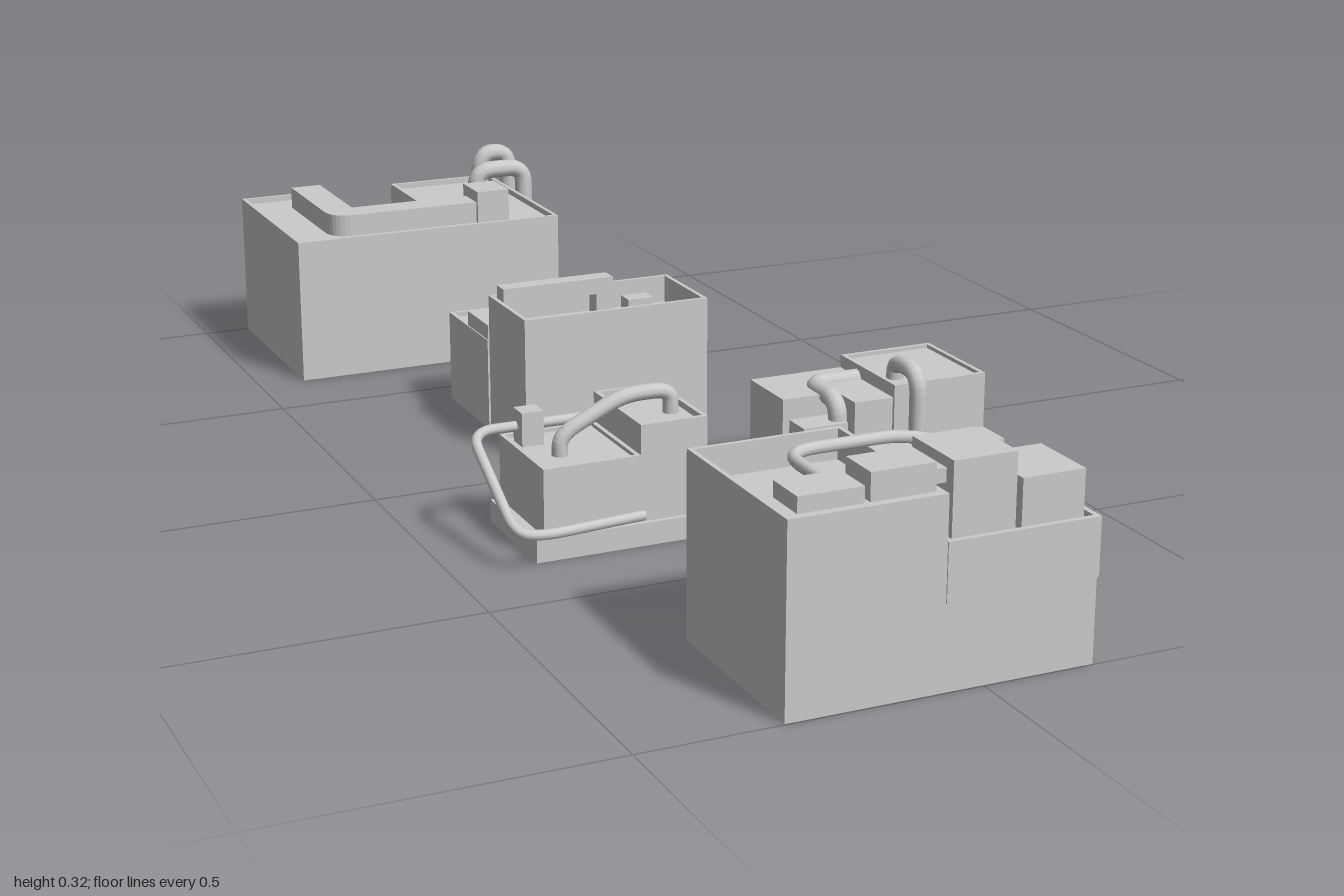
import * as THREE from 'three';

const grey = new THREE.MeshStandardMaterial({ color: 0xcccccc, side: THREE.DoubleSide });

function add(group, name, geometry) {
  const mesh = new THREE.Mesh(geometry, grey);
  mesh.name = name;
  group.add(mesh);
  return mesh;
}

// Plain box given by its limits
function box(group, name, x0, x1, y0, y1, z0, z1) {
  const g = new THREE.BoxGeometry(x1 - x0, y1 - y0, z1 - z0);
  g.translate((x0 + x1) / 2, (y0 + y1) / 2, (z0 + z1) / 2);
  return add(group, name, g);
}

const rect = (x0, x1, z0, z1) => [[x0, z1], [x1, z1], [x1, z0], [x0, z0]];

// Footprint points [x, z] become a shape in the ground plane
const toVectors = (pts) => pts.map(([x, z]) => new THREE.Vector2(x, -z));

function extrudeUp(shape, y0, y1) {
  const g = new THREE.ExtrudeGeometry(shape, { depth: y1 - y0, bevelEnabled: false, curveSegments: 8 });
  g.rotateX(-Math.PI / 2);
  g.translate(0, y0, 0);
  return g;
}

// Hollow volume: walls and roof without a floor
function shell(group, name, pts, y0, y1) {
  const g = extrudeUp(new THREE.Shape(toVectors(pts)), y0, y1);
  const p = g.attributes.position.array, kept = [];
  for (let i = 0; i < p.length; i += 9) {
    const top = Math.max(p[i + 1], p[i + 4], p[i + 7]);
    if (top > y0 + 1e-4) kept.push(...p.slice(i, i + 9));
  }
  const open = new THREE.BufferGeometry();
  open.setAttribute('position', new THREE.Float32BufferAttribute(kept, 3));
  open.computeVertexNormals();
  return add(group, name, open);
}

// Ring following a right-angled footprint (parapet or plinth)
function ring(group, name, pts, y0, y1, t) {
  const v = toVectors(pts);
  const inner = v.map((p, i) => {
    const before = p.clone().sub(v[(i + v.length - 1) % v.length]).normalize();
    const after = v[(i + 1) % v.length].clone().sub(p).normalize();
    return new THREE.Vector2(p.x - t * (before.y + after.y), p.y + t * (before.x + after.x));
  });
  const shape = new THREE.Shape(v);
  shape.holes.push(new THREE.Path(inner));
  return add(group, name, extrudeUp(shape, y0, y1));
}

// Volume whose roof sits below a thin parapet
function building(group, name, pts, y0, y1, recess) {
  shell(group, name, pts, y0, y1 - recess);
  ring(group, name + 'Parapet', pts, y1 - recess, y1, 0.007);
}

// Pipe along a path with rounded corners
function pipe(group, name, pts, r, bend) {
  const v = pts.map((p) => new THREE.Vector3(...p));
  const path = [v[0]];
  for (let i = 1; i < v.length - 1; i++) {
    const toward = (q) => v[i].clone().add(q.clone().sub(v[i]).setLength(Math.min(bend, q.distanceTo(v[i]) * 0.48)));
    path.push(...new THREE.QuadraticBezierCurve3(toward(v[i - 1]), v[i], toward(v[i + 1])).getPoints(6));
  }
  path.push(v[v.length - 1]);
  const curve = new THREE.CurvePath();
  for (let i = 1; i < path.length; i++) curve.add(new THREE.LineCurve3(path[i - 1], path[i]));
  add(group, name, new THREE.TubeGeometry(curve, 90, r, 10, false));
  // end caps
  for (const [a, b] of [[v[0], v[1]], [v[v.length - 1], v[v.length - 2]]]) {
    const cap = add(group, name + 'End', new THREE.CircleGeometry(r, 10));
    cap.position.copy(a);
    cap.lookAt(a.clone().multiplyScalar(2).sub(b));
  }
}

// Flat L-shaped duct with a rounded outer corner
function elbowDuct(group, name, x0, x1, zBack, zFront, w, y0, y1) {
  const s = new THREE.Shape();
  const r = w * 0.8;
  s.moveTo(x0, -zBack);
  s.lineTo(x0, -zFront + r);
  s.quadraticCurveTo(x0, -zFront, x0 + r, -zFront);
  s.lineTo(x1, -zFront);
  s.lineTo(x1, -zFront + w);
  s.lineTo(x0 + w, -zFront + w);
  s.lineTo(x0 + w, -zBack);
  return add(group, name, extrudeUp(s, y0, y1));
}

function frontHall() {
  const g = new THREE.Group();
  g.name = 'frontHall';
  shell(g, 'hallBody', rect(-0.29, 0.168, 0.702, 0.998), 0, 0.2);
  ring(g, 'hallCornerBand', rect(-0.06, 0.17, 0.7, 1), 0.125, 0.21, 0.008);
  building(g, 'hallRearRoof', rect(-0.29, -0.06, 0.702, 0.895), 0.2, 0.275, 0.045);
  box(g, 'hallFrontLedge', -0.29, -0.06, 0.2, 0.275, 0.895, 0.998);
  // roof units
  box(g, 'roofUnit', -0.27, -0.175, 0.27, 0.298, 0.918, 0.985);
  box(g, 'roofUnit', -0.167, -0.072, 0.27, 0.315, 0.918, 0.985);
  box(g, 'roofUnit', -0.043, 0.052, 0.2, 0.31, 0.87, 0.978);
  box(g, 'roofUnit', 0.06, 0.155, 0.2, 0.272, 0.87, 0.98);
  box(g, 'unitLink', -0.075, -0.04, 0.275, 0.295, 0.935, 0.96);
  pipe(g, 'roofPipe', [[-0.195, 0.285, 0.93], [-0.195, 0.285, 0.795], [0.0, 0.285, 0.795], [0.12, 0.245, 0.88]], 0.009, 0.05);
  return g;
}

function sidePump() {
  const g = new THREE.Group();
  g.name = 'pumpHouse';
  ring(g, 'plinth', rect(-0.37, -0.09, 0.165, 0.355), 0, 0.036, 0.018);
  building(g, 'lowWing', rect(-0.355, -0.2, 0.168, 0.347), 0, 0.14, 0.006);
  building(g, 'highWing', rect(-0.2, -0.092, 0.168, 0.347), 0, 0.187, 0.01);
  box(g, 'valveBox', -0.34, -0.305, 0.13, 0.187, 0.19, 0.225);
  // outer pipe looping from the roof to the front wall
  pipe(g, 'outerPipe', [[-0.2, 0.16, 0.2], [-0.412, 0.16, 0.2], [-0.412, 0.06, 0.38], [-0.37, 0.055, 0.388], [-0.195, 0.045, 0.345]], 0.008, 0.035);
  pipe(g, 'roofArch', [[-0.302, 0.13, 0.28], [-0.302, 0.165, 0.28], [-0.2, 0.214, 0.28], [-0.122, 0.214, 0.28], [-0.122, 0.175, 0.28]], 0.012, 0.03);
  return g;
}

function steppedPlant() {
  const g = new THREE.Group();
  g.name = 'steppedPlant';
  shell(g, 'plantBase', rect(0.1, 0.425, 0.1, 0.345), 0, 0.055);
  box(g, 'frontStep', 0.195, 0.425, 0.05, 0.078, 0.2, 0.345);
  building(g, 'tallBlock', rect(0.262, 0.425, 0.1, 0.28), 0.055, 0.168, 0.006);
  box(g, 'backBlock', 0.1, 0.262, 0.05, 0.147, 0.1, 0.215);
  box(g, 'middleBlock', 0.195, 0.262, 0.07, 0.147, 0.215, 0.275);
  box(g, 'lowerUnit', 0.108, 0.185, 0.05, 0.115, 0.222, 0.272);
  box(g, 'lowerUnit', 0.108, 0.185, 0.05, 0.083, 0.29, 0.332);
  pipe(g, 'roofPipe', [[0.178, 0.08, 0.25], [0.178, 0.145, 0.25], [0.178, 0.145, 0.155], [0.27, 0.145, 0.155]], 0.015, 0.03);
  pipe(g, 'archPipe', [[0.291, 0.075, 0.303], [0.291, 0.191, 0.303], [0.291, 0.191, 0.228], [0.291, 0.155, 0.228]], 0.014, 0.035);
  return g;
}

function middleHall() {
  const g = new THREE.Group();
  g.name = 'middleHall';
  building(g, 'frontBlock', rect(-0.215, 0.108, -0.243, -0.08), 0, 0.235, 0.045);
  building(g, 'rearBlock', rect(-0.215, 0.108, -0.438, -0.252), 0, 0.155, 0.008);
  box(g, 'rearRoofUnit', -0.213, -0.065, 0.14, 0.18, -0.35, -0.254);
  // bridge duct on legs
  box(g, 'bridgeBeam', -0.205, -0.01, 0.228, 0.255, -0.23, -0.2);
  for (const x of [-0.205, -0.04]) box(g, 'bridgeLeg', x, x + 0.03, 0.185, 0.23, -0.23, -0.2);
  box(g, 'valveBox', 0.02, 0.065, 0.185, 0.21, -0.235, -0.203);
  pipe(g, 'thinPipe', [[0.028, 0.145, -0.335], [0.028, 0.195, -0.335], [0.028, 0.195, -0.21]], 0.006, 0.02);
  pipe(g, 'bentPipe', [[-0.07, 0.172, -0.3], [0.054, 0.172, -0.3], [0.054, 0.195, -0.215]], 0.009, 0.03);
  return g;
}

function rearHall() {
  const g = new THREE.Group();
  g.name = 'rearHall';
  const plan = [[-0.42, -0.64], [0.07, -0.64], [0.07, -1], [-0.128, -1], [-0.128, -0.803], [-0.262, -0.803], [-0.262, -1], [-0.42, -1]];
  building(g, 'rearBody', plan, 0, 0.252, 0.01);
  elbowDuct(g, 'roofDuct', -0.343, -0.06, -0.935, -0.687, 0.055, 0.24, 0.28);
  box(g, 'ductBox', -0.07, -0.01, 0.24, 0.3, -0.755, -0.68);
  // twin downpipes hooking over the roof edge
  for (const [x, top, z] of [[-0.002, 0.293, -0.87], [0.036, 0.306, -0.953]])
    pipe(g, 'downpipe', [[x, 0.24, z], [x, top, z], [0.093, top, z], [0.093, 0, z]], 0.016, 0.032);
  return g;
}

export function createModel() {
  const model = new THREE.Group();
  model.name = 'industrialBuildings';
  model.add(frontHall(), sidePump(), steppedPlant(), middleHall(), rearHall());
  return model;
}
